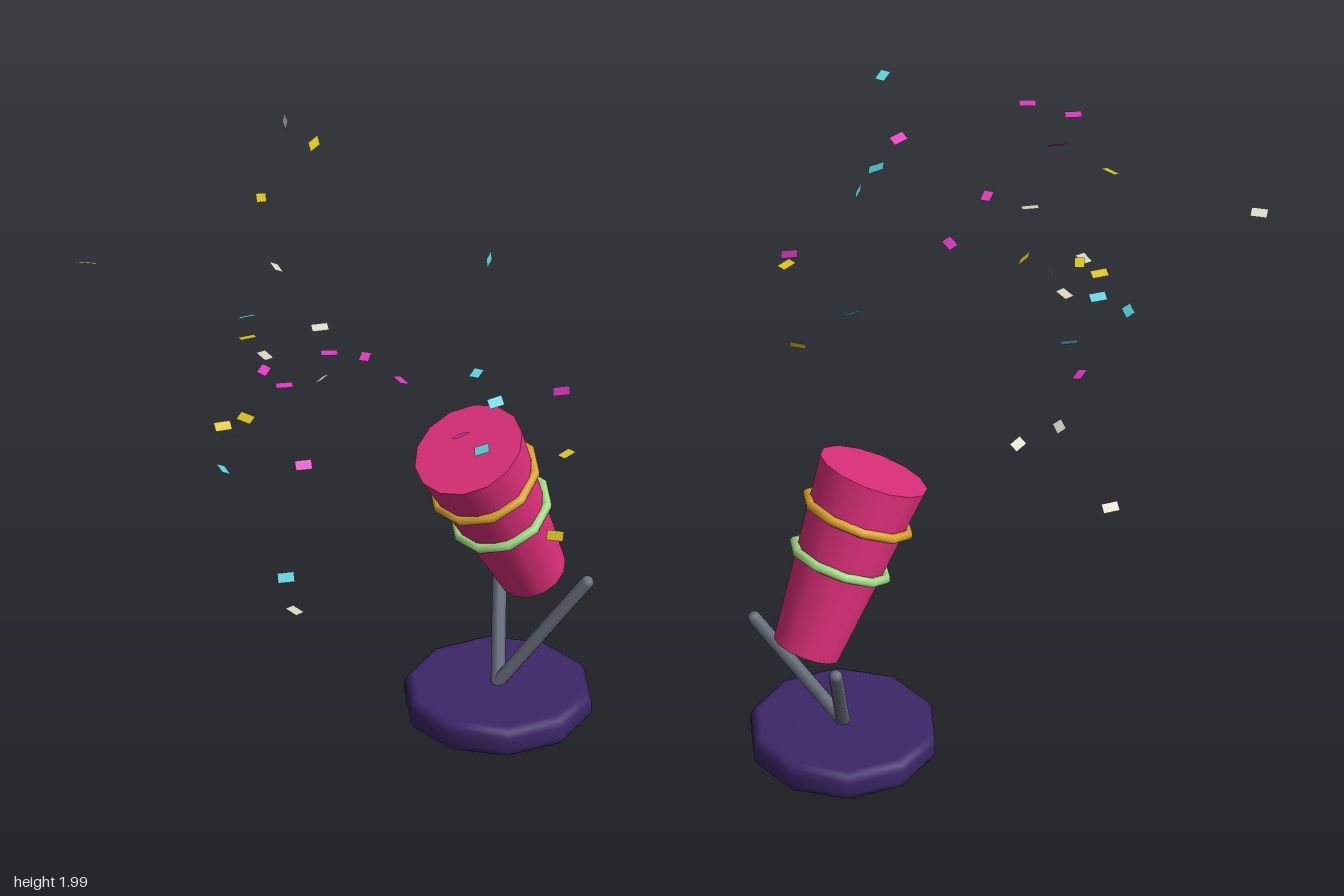
import * as THREE from 'three';

const mat = (name, color, double = false) => {
  const m = new THREE.MeshStandardMaterial({ color });
  m.name = name;
  if (double) m.side = THREE.DoubleSide;
  return m;
};

const add = (parent, name, geometry, material) => {
  const mesh = new THREE.Mesh(geometry, material);
  mesh.name = name;
  parent.add(mesh);
  return mesh;
};

// Confetti of one colour; each flake is x, y, z, heading and tilt in degrees
function scatter(parent, name, material, flakes) {
  const sheet = new THREE.PlaneGeometry(0.052, 0.031).rotateX(-Math.PI / 2);
  const group = new THREE.Group();
  group.name = name;
  parent.add(group);
  for (const [x, y, z, heading, tilt = 0] of flakes) {
    const flake = add(group, 'flake', sheet, material);
    flake.position.set(x, y, z);
    flake.rotation.set(THREE.MathUtils.degToRad(tilt), -THREE.MathUtils.degToRad(heading), 0, 'YXZ');
  }
}

export function createModel() {
  const model = new THREE.Group();
  model.name = 'confettiCannon';

  const purple = mat('basePurple', 0x3c2768);
  const steel = mat('legGrey', 0x666c7a);
  const pink = mat('barrelPink', 0xe0307c);
  const gold = mat('ringGold', 0xdba22e);
  const green = mat('ringGreen', 0xa2dc84);
  const yellow = mat('confettiYellow', 0xdcc424, true);
  const magenta = mat('confettiMagenta', 0xdc3cbc, true);
  const cyan = mat('confettiCyan', 0x5fd2dc, true);
  const cream = mat('confettiCream', 0xdedcc8, true);

  const CX = -0.016, CZ = -0.453;

  // Ten-sided base with rounded rim
  const profile = [
    [0, 0], [0.262, 0], [0.28, 0.009], [0.29, 0.028],
    [0.29, 0.07], [0.28, 0.09], [0.262, 0.1], [0, 0.1],
  ].map(([r, y]) => new THREE.Vector2(r, y));
  const base = add(model, 'base', new THREE.LatheGeometry(profile, 10).rotateY(Math.PI / 10), purple);
  base.position.set(CX, 0, CZ);

  // Two splayed legs
  const up = new THREE.Vector3(0, 1, 0);
  for (const side of [-1, 1]) {
    const foot = new THREE.Vector3(CX, 0.1, CZ);
    const tip = new THREE.Vector3(CX + side * 0.194, 0.465, -0.642);
    const dir = tip.clone().sub(foot);
    const leg = add(model, side > 0 ? 'leftLeg' : 'rightLeg',
      new THREE.CapsuleGeometry(0.022, dir.length(), 3, 8), steel);
    leg.position.copy(foot).add(tip).multiplyScalar(0.5);
    leg.quaternion.setFromUnitVectors(up, dir.normalize());
  }

  // Tilted barrel with its two rings
  const cannon = new THREE.Group();
  cannon.name = 'cannon';
  cannon.position.set(CX, 0.4395, -0.597);
  cannon.rotation.x = THREE.MathUtils.degToRad(26);
  model.add(cannon);
  const length = 0.606;
  add(cannon, 'barrel',
    new THREE.CylinderGeometry(0.174, 0.106, length, 14).rotateY(Math.PI / 14), pink)
    .position.y = length / 2;
  for (const [name, y, radius, material] of [
    ['upperRing', 0.46, 0.165, gold],
    ['lowerRing', 0.302, 0.15, green],
  ]) {
    add(cannon, name, new THREE.TorusGeometry(radius, 0.016, 8, 10).rotateX(Math.PI / 2), material)
      .position.y = y;
  }

  // Burst of confetti
  scatter(model, 'creamConfetti', cream, [
    [-0.66, 1.43, -0.13, 22, -28],
    [-0.61, 1.98, -0.12, 31, 75],
    [-0.39, 1.18, -0.07, 75, 35],
    [-0.59, 0.96, 0.13, 110, 36],
    [-0.17, 1.55, 0.37, 11],
    [-0.01, 1.69, 0.29, 121, -15],
    [0.31, 0.99, 0.69, 3],
    [-0.61, 1.82, 0.7, 141, 25],
  ]);
  scatter(model, 'yellowConfetti', yellow, [
    [-0.48, 1.96, -0.12, 76, -72],
    [-0.64, 0.97, 0.11, 117, -33],
    [-0.49, 1.85, 0.09, 39],
    [-0.27, 1.56, 0.35, 112, 14],
    [0.09, 1.58, 0.69, -11, 24],
    [0.61, 1.33, -0.16, 84],
    [0.58, 1.03, -0.14, -35, 65],
  ]);
  scatter(model, 'magentaConfetti', magenta, [
    [-0.38, 1.32, 0.18, 63, -17],
    [0.16, 1.65, 0.26, 55],
    [0.18, 1.52, 0.13, 11, -20],
    [0.27, 1.82, 0.51, 129],
    [0.22, 1.74, 0.65, 125],
    [0.35, 1.53, 0.69, 121, -45],
    [0.5, 1.47, -0.24, 121, -87],
    [0.62, 1.59, 0.29, 90, 24],
  ]);
  scatter(model, 'cyanConfetti', cyan, [
    [-0.36, 1.56, 0.27, 112, 23],
    [-0.14, 1.24, 0.57, 22, -28],
    [0.13, 0.97, 0.56, 121, -60],
    [0.23, 1.84, -0.19, 59, -84],
    [0.27, 1.35, -0.18, 101, -52],
    [0.63, 1.51, 0.21, 101, -84],
    [0.66, 1.82, 0.26, 63],
  ]);

  return model;
}
